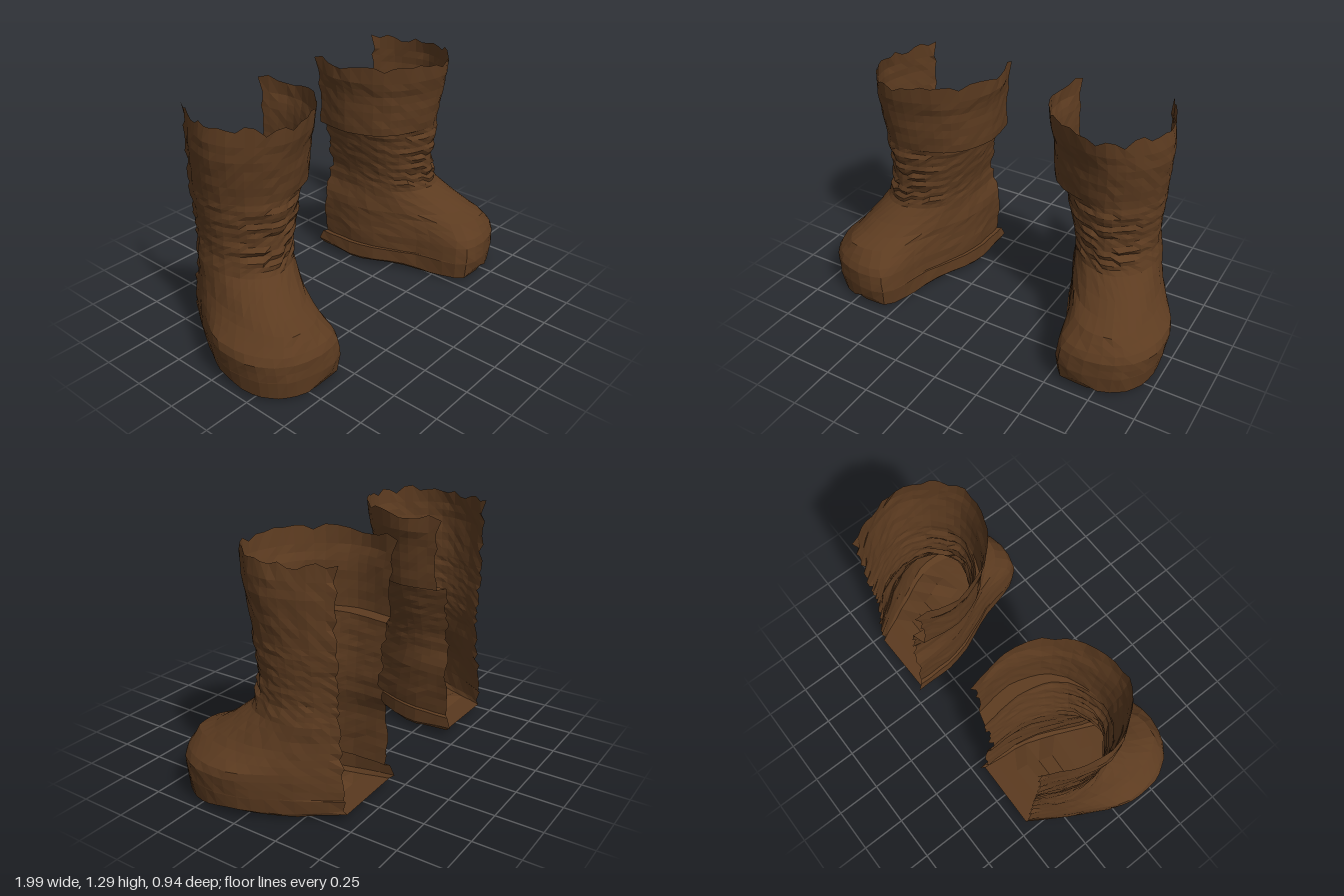
import * as THREE from 'three';

const leather = new THREE.MeshStandardMaterial({ color: 0x5c3b20, side: THREE.DoubleSide });
leather.name = 'brown leather';

const COLS = 32;
const hash = (a, b) => {
  const s = Math.sin(a * 127.1 + b * 311.7) * 43758.5453;
  return s - Math.floor(s) - 0.5;
};

// Cross-sections [height, x, z, x, z ...] of the left boot, open at the back:
// outer cut edge -> outer side -> front -> inner side -> inner cut edge.
const CUFF = [
  [1.275, .715, -.40, .795, -.25, .825, -.08, .76, .08, .62, .195, .42, .165, .26, .05, .175, -.18, .215, -.39],
  [1.20, .715, -.40, .80, -.25, .84, -.08, .765, .08, .625, .185, .42, .155, .265, .04, .175, -.18, .215, -.39],
  [1.12, .72, -.40, .805, -.25, .84, -.08, .77, .07, .63, .165, .43, .135, .28, .03, .20, -.17, .22, -.38],
  [.89, .72, -.40, .79, -.26, .815, -.10, .75, .04, .61, .13, .44, .105, .29, .015, .21, -.18, .23, -.38],
  [.885, .72, -.40, .79, -.26, .815, -.10, .75, .04, .61, .13, .45, .10, .33, 0, .28, -.18, .30, -.40],
];
const SHAFT = [
  CUFF[4],
  [.60, .70, -.40, .77, -.27, .80, -.12, .74, .03, .62, .11, .49, .08, .39, -.02, .34, -.20, .345, -.40],
  [.50, .70, -.40, .79, -.27, .82, -.10, .77, .05, .66, .125, .52, .10, .41, 0, .345, -.20, .34, -.41],
];
const FOOT = [
  SHAFT[2],
  [.42, .70, -.41, .80, -.25, .85, -.06, .83, .12, .74, .215, .57, .19, .43, .05, .33, -.20, .31, -.42],
  [.37, .70, -.42, .82, -.23, .875, -.03, .865, .17, .77, .295, .60, .265, .445, .09, .325, -.19, .31, -.42],
  [.335, .70, -.42, .835, -.21, .90, 0, .89, .21, .80, .375, .61, .355, .46, .12, .33, -.18, .31, -.42],
  [.26, .71, -.425, .87, -.18, .98, .05, .955, .27, .84, .41, .58, .43, .46, .15, .33, -.18, .315, -.425],
  [.22, .71, -.43, .88, -.17, .993, .07, .97, .29, .845, .425, .56, .445, .46, .16, .33, -.16, .32, -.43],
  [.13, .71, -.43, .875, -.17, .98, .07, .96, .30, .84, .43, .55, .45, .455, .16, .335, -.16, .325, -.43],
];
const SOLE = [
  FOOT[6],
  [.125, .71, -.44, .875, -.17, .98, .07, .96, .30, .84, .43, .55, .45, .45, .16, .32, -.16, .305, -.45],
  [.04, .705, -.44, .865, -.17, .965, .07, .945, .29, .83, .42, .56, .44, .455, .17, .32, -.16, .30, -.45],
  [0, .70, -.44, .845, -.17, .935, .07, .91, .27, .81, .39, .59, .41, .475, .17, .34, -.16, .31, -.44],
];

function ring(level) {
  const pts = [];
  for (let i = 1; i < level.length; i += 2) pts.push(new THREE.Vector3(level[i], level[0], level[i + 1]));
  return new THREE.CatmullRomCurve3(pts).getPoints(COLS);
}

// Uneven leather, deep ankle creases and torn back edges
function weather(p, col) {
  const key = Math.round(p.y * 100 + 0.01);
  const front = Math.exp(-(((col / COLS - 0.48) / 0.2) ** 2));
  const crease = p.y > 0.52 && p.y < 0.87 ? 0.028 * front : 0;
  const push = 0.007 * hash(key, col) + crease * hash(key, Math.floor(col / 3));
  const out = new THREE.Vector3(p.x - 0.6, 0, p.z + 0.12).normalize();
  const q = p.clone().addScaledVector(out, push);
  if (col === 0 || col === COLS) q.z += 0.03 * hash(key, col + 7);
  if (p.y > 1.27) q.y += 0.045 * hash(col, 3);
  return q;
}

function loftRows(levels, step) {
  const rows = [];
  for (let l = 0; l < levels.length - 1; l++) {
    const a = ring(levels[l]), b = ring(levels[l + 1]);
    const n = Math.max(1, Math.round((levels[l][0] - levels[l + 1][0]) / step));
    for (let k = l ? 1 : 0; k <= n; k++) rows.push(a.map((p, i) => weather(p.clone().lerp(b[i], k / n), i)));
  }
  return rows;
}

// Faceted surface across rows of points, mirrored when side is -1
function surface(name, rows, side) {
  const pos = [], index = [], w = rows[0].length;
  rows.forEach(r => r.forEach(p => pos.push(p.x * side, p.y, p.z)));
  const tri = (a, b, c) => (side > 0 ? index.push(a, b, c) : index.push(a, c, b));
  for (let r = 0; r < rows.length - 1; r++) {
    for (let i = 0; i < w - 1; i++) {
      const a = r * w + i, b = a + 1, c = a + w, d = c + 1;
      tri(a, b, c);
      tri(b, d, c);
    }
  }
  const indexed = new THREE.BufferGeometry();
  indexed.setAttribute('position', new THREE.Float32BufferAttribute(pos, 3));
  indexed.setIndex(index);
  const geo = indexed.toNonIndexed();
  geo.computeVertexNormals();
  const mesh = new THREE.Mesh(geo, leather);
  mesh.name = name;
  return mesh;
}

// Height of the underside: raised heel and arch, toe on the ground
const HEIGHTS = [[-0.45, 0.05], [-0.35, 0.04], [-0.2, 0.02], [0.05, 0.034], [0.25, 0.003], [0.45, 0.005]];
function soleHeight(z) {
  const i = Math.max(1, HEIGHTS.findIndex(h => h[0] > z));
  const [a, b] = [HEIGHTS[i - 1], HEIGHTS[i]];
  return THREE.MathUtils.lerp(a[1], b[1], THREE.MathUtils.clamp((z - a[0]) / (b[0] - a[0]), 0, 1));
}

function makeBoot(side) {
  const boot = new THREE.Group();
  boot.name = side > 0 ? 'leftBoot' : 'rightBoot';
  boot.add(surface('cuff', loftRows(CUFF, 0.05), side));
  boot.add(surface('shaft', loftRows(SHAFT, 0.025), side));
  boot.add(surface('foot', loftRows(FOOT, 0.05), side));

  // Sole edge, tucked under towards the ground
  const soleRows = loftRows(SOLE, 0.2);
  const rim = soleRows[soleRows.length - 1];
  rim.forEach(p => { p.y = soleHeight(p.z); });
  soleRows[soleRows.length - 2].forEach(p => { p.y = soleHeight(p.z) + 0.02; });
  boot.add(surface('soleEdge', soleRows, side));

  // Underside: strips from the outer to the inner edge, ridged at the arch
  const under = [];
  for (let i = 0; i <= COLS / 2; i++) {
    const a = rim[i], b = rim[COLS - i];
    under.push([0, 1, 2, 3, 4].map(k => {
      const p = a.clone().lerp(b, k / 4);
      if (k % 4 && p.z > -0.3 && p.z < 0.05) p.y += (i % 2) * 0.025;
      return p;
    }));
  }
  boot.add(surface('soleUnderside', under.reverse(), side));
  return boot;
}

export function createModel() {
  const model = new THREE.Group();
  model.name = 'pairOfBoots';
  model.add(makeBoot(1), makeBoot(-1));
  return model;
}
